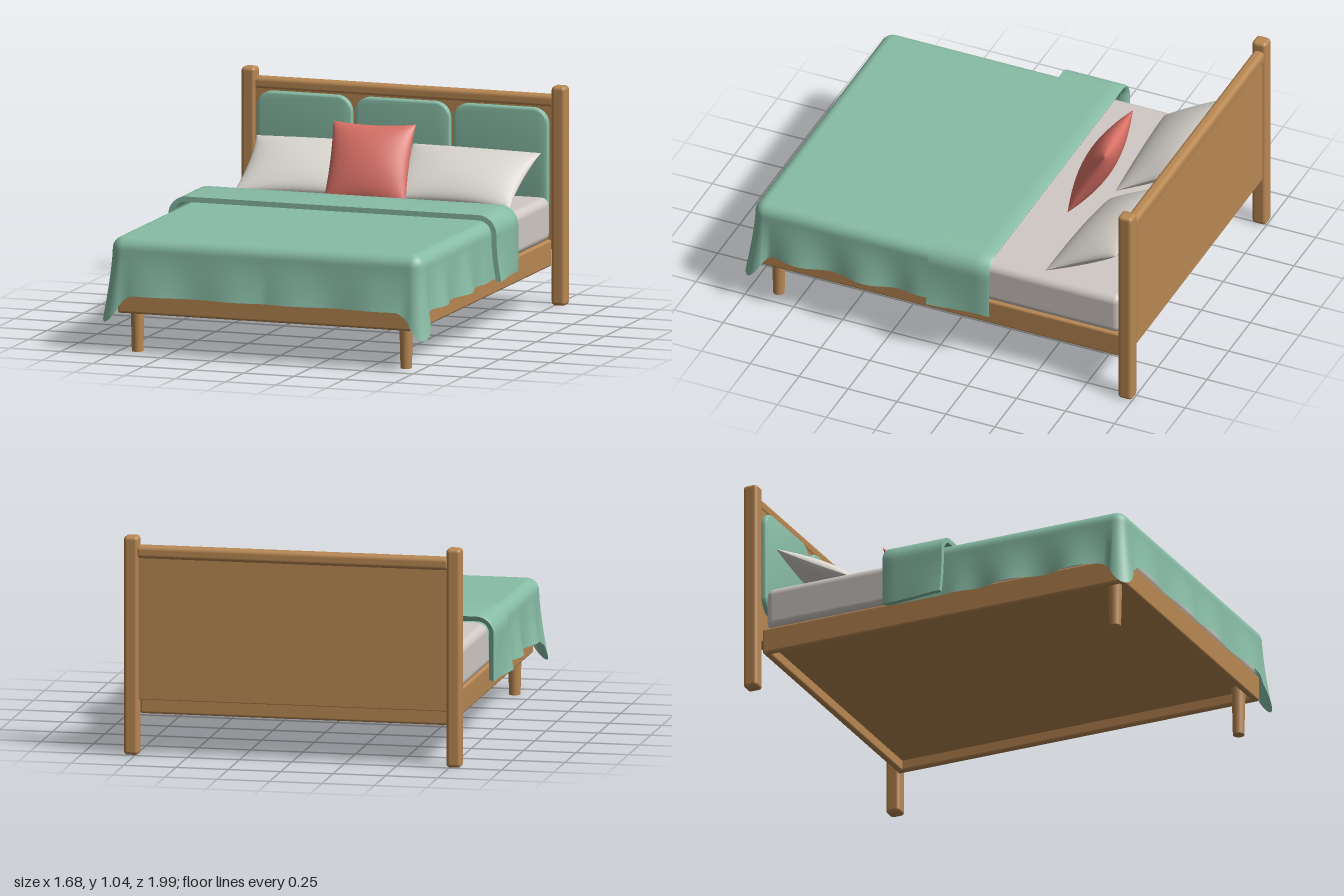
import * as THREE from 'three';
import { RoundedBoxGeometry } from 'three/addons/geometries/RoundedBoxGeometry.js';
import { toCreasedNormals } from 'three/addons/utils/BufferGeometryUtils.js';

const mat = (name, color, side = THREE.FrontSide) => {
  const m = new THREE.MeshStandardMaterial({ color, side });
  m.name = name;
  return m;
};

// Smooth surface from rows x cols of points; fn(row, col) returns [x, y, z]
function grid(rows, cols, fn) {
  const pos = [], idx = [];
  for (let i = 0; i < rows; i++) for (let j = 0; j < cols; j++) pos.push(...fn(i, j));
  for (let i = 0; i < rows - 1; i++) for (let j = 0; j < cols - 1; j++) {
    const a = i * cols + j, b = a + cols;
    idx.push(a, b, a + 1, a + 1, b, b + 1);
  }
  const g = new THREE.BufferGeometry();
  g.setAttribute('position', new THREE.Float32BufferAttribute(pos, 3));
  g.setIndex(idx);
  g.computeVertexNormals();
  return g;
}

// Stuffed pillow: lens-shaped square with pinched edges
function pillowGeometry(w, h, d) {
  const g = new THREE.SphereGeometry(1, 4, 4);
  g.dispose();
  const n = 25;
  const half = (s) => grid(n, n, (i, j) => {
    const u = s * Math.sin((j / (n - 1) - 0.5) * Math.PI), v = -Math.sin((i / (n - 1) - 0.5) * Math.PI);
    const bulge = Math.pow(Math.max(0, (1 - u * u) * (1 - v * v)), 0.5);
    return [w / 2 * u * (1 - 0.05 * (1 - v * v)), h / 2 * v * (1 - 0.07 * (1 - u * u)), s * d / 2 * bulge];
  });
  return [half(1), half(-1)];
}

// Duvet: flat top, rolled edge, wavy skirt on three sides, dropped corners
function duvetGeometry() {
  const X = 0.715, Z = 0.895, back = -0.24, r = 0.06, top = 0.555, hem = 0.285;
  const cols = [];
  const near = (d) => 0.35 * Math.pow(Math.max(0, 1 - d / 0.07), 2);
  const side = (s) => {
    const list = [];
    for (let i = 0; i < 60; i++) {
      const z = back + (Z - back) * i / 60;
      const fade = THREE.MathUtils.smoothstep(z, 0, 0.2);
      list.push({ x: s * X, z, nx: s, nz: 0, c: near(Z - z),
        f: 0.008 + fade * (0.012 + 0.018 * Math.cos((z - 0.37) * Math.PI * 2 / 0.34)) });
    }
    return list;
  };
  const corner = (s) => {
    const list = [];
    for (let i = 0; i <= 12; i++) {
      const a = i / 12 * Math.PI / 2, k = Math.sin(2 * a);
      list.push({ x: s * X, z: Z, nx: s * Math.cos(a), nz: Math.sin(a), c: 0.35 + 0.65 * k, f: 0.025 + 0.025 * k });
    }
    return list;
  };
  cols.push(...side(-1), ...corner(-1));
  for (let i = 1; i < 72; i++) {
    const x = -X + 2 * X * i / 72;
    cols.push({ x, z: Z, nx: 0, nz: 1, c: near(X - Math.abs(x)),
      f: 0.025 + 0.011 * Math.cos((Math.abs(x) - 0.14) * Math.PI * 2 / 0.42) });
  }
  cols.push(...corner(1).reverse(), ...side(1).reverse());
  const roll = 8, drop = 14;
  return grid(2 + roll + drop, cols.length, (i, j) => {
    const p = cols[j];
    if (i === 0) return [0, top, Math.min(p.z, 0.3)];
    const a = Math.min(1, (i - 1) / roll) * Math.PI / 2, t = Math.max(0, (i - 1 - roll) / drop);
    const off = r * Math.sin(a) + p.f * Math.pow(t, 1.4);
    const y0 = top - r * (1 - Math.cos(a));
    return [p.x + p.nx * off, y0 + (hem - 0.13 * p.c - (top - r)) * t, p.z + p.nz * off];
  });
}

// Folded band: arched cross-section swept along z, rounded at the head end
function foldGeometry() {
  const W = 0.815, top = 0.595, r = 0.09, hem = 0.286;
  const half = [];
  for (let i = 0; i <= 10; i++) {
    const t = 1 - i / 10;
    half.push([W, hem + (top - r - hem) * (1 - t), 1, 0, t]);
  }
  for (let i = 1; i <= 8; i++) {
    const a = i / 8 * Math.PI / 2;
    half.push([W - r + r * Math.cos(a), top - r + r * Math.sin(a), Math.cos(a), Math.sin(a), 0]);
  }
  half.unshift(half[0]);
  const prof = [...half, ...half.slice().reverse().map(([x, y, nx, ny, t]) => [-x, y, -nx, ny, t])];
  // stations: z, inset
  const st = [[-0.24, 0.035], [-0.262, 0.026], [-0.272, 0.013], [-0.275, 0.006], [-0.265, 0], [-0.2, 0], [-0.1, 0],
    [-0.04, 0], [0, 0], [0.035, 0], [0.035, 0.025], [0, 0.025], [-0.1, 0.025], [-0.24, 0.035]];
  return toCreasedNormals(grid(st.length, prof.length, (i, j) => {
    const [x, y, nx, ny, t] = prof[j];
    let [z, inset] = st[i];
    if (j === 0 || j === prof.length - 1) inset = 0.0125;
    const flare = t * t * 0.024 * THREE.MathUtils.smoothstep(z, -0.2, 0.035);
    return [x + nx * (flare - inset), y - ny * inset, z];
  }), 0.9);
}

// Upholstered panel: rounded rectangle with a soft bevel
function cushionGeometry(w, h) {
  const b = 0.012, x = w / 2 - b, y = h / 2 - b, r = 0.065;
  const s = new THREE.Shape();
  s.moveTo(-x + r, -y);
  s.absarc(x - r, -y + r, r, -Math.PI / 2, 0);
  s.absarc(x - r, y - r, r, 0, Math.PI / 2);
  s.absarc(-x + r, y - r, r, Math.PI / 2, Math.PI);
  s.absarc(-x + r, -y + r, r, Math.PI, Math.PI * 1.5);
  const g = new THREE.ExtrudeGeometry(s, { depth: 0.015, bevelSize: b, bevelThickness: b, bevelSegments: 4, curveSegments: 10 });
  return toCreasedNormals(g, 0.7);
}

export function createModel() {
  const wood = mat('wood', 0xb98853);
  const green = mat('green fabric', 0x88bda6, THREE.DoubleSide);
  const linen = mat('mattress linen', 0xd0c9c4);
  const pale = mat('pillow linen', 0xdad6cf, THREE.DoubleSide);
  const coral = mat('coral fabric', 0xd97066, THREE.DoubleSide);
  const bed = new THREE.Group();
  bed.name = 'bed';

  const add = (name, geo, m, x = 0, y = 0, z = 0) => {
    const mesh = new THREE.Mesh(geo, m);
    mesh.name = name;
    mesh.position.set(x, y, z);
    bed.add(mesh);
    return mesh;
  };
  // Rounded box given by its limits
  const box = (name, m, [x0, x1], [y0, y1], [z0, z1], r) =>
    add(name, new RoundedBoxGeometry(x1 - x0, y1 - y0, z1 - z0, 4, r), m, (x0 + x1) / 2, (y0 + y1) / 2, (z0 + z1) / 2);

  // Headboard
  for (const s of [-1, 1]) {
    box('headboardPost', wood, [s * 0.77 - 0.035, s * 0.77 + 0.035], [0.005, 1.045], [-1, -0.928], 0.018);
  }
  box('headboardRail', wood, [-0.75, 0.75], [0.938, 1.002], [-0.995, -0.938], 0.022);
  box('headboardPanel', wood, [-0.75, 0.75], [0.27, 0.96], [-0.985, -0.942], 0.004);
  for (const x of [-0.487, 0, 0.487]) {
    add('headboardCushion', cushionGeometry(0.474, 0.52), green, x, 0.68, -0.943);
  }

  // Frame and support board
  for (const s of [-1, 1]) {
    box('sideRail', wood, [s * 0.725 - 0.016, s * 0.725 + 0.016], [0.193, 0.32], [-0.93, 0.937], 0.012);
  }
  box('footRail', wood, [-0.741, 0.741], [0.193, 0.32], [0.905, 0.937], 0.012);
  box('headRail', wood, [-0.741, 0.741], [0.193, 0.32], [-0.93, -0.898], 0.012);
  box('supportBoard', wood, [-0.72, 0.72], [0.245, 0.3], [-0.91, 0.92], 0.004);

  // Front legs
  for (const s of [-1, 1]) {
    add('frontLeg', new THREE.CylinderGeometry(0.033, 0.027, 0.25, 24), wood, s * 0.667, 0.13, 0.863);
  }

  // Bedding
  box('mattress', linen, [-0.743, 0.743], [0.315, 0.525], [-0.915, 0.925], 0.04);
  add('duvet', duvetGeometry(), green);
  add('duvetFold', foldGeometry(), green);

  // Pillows
  const pillow = (name, m, size, [x, y, z], tilt, yaw) => {
    const g = new THREE.Group();
    g.name = name;
    for (const geo of pillowGeometry(...size)) g.add(new THREE.Mesh(geo, m));
    g.children.forEach((c, i) => { c.name = name + (i ? 'Back' : 'Front'); });
    g.rotation.set(-tilt, yaw, 0, 'YXZ');
    g.position.set(x, y, z);
    bed.add(g);
  };
  for (const s of [-1, 1]) pillow('pillow', pale, [0.65, 0.42, 0.14], [s * 0.37, 0.635, -0.71], 1.07, -s * 0.06);
  pillow('throwCushion', coral, [0.4, 0.405, 0.14], [-0.003, 0.707, -0.482], 0.47, 0.08);

  return bed;
}
